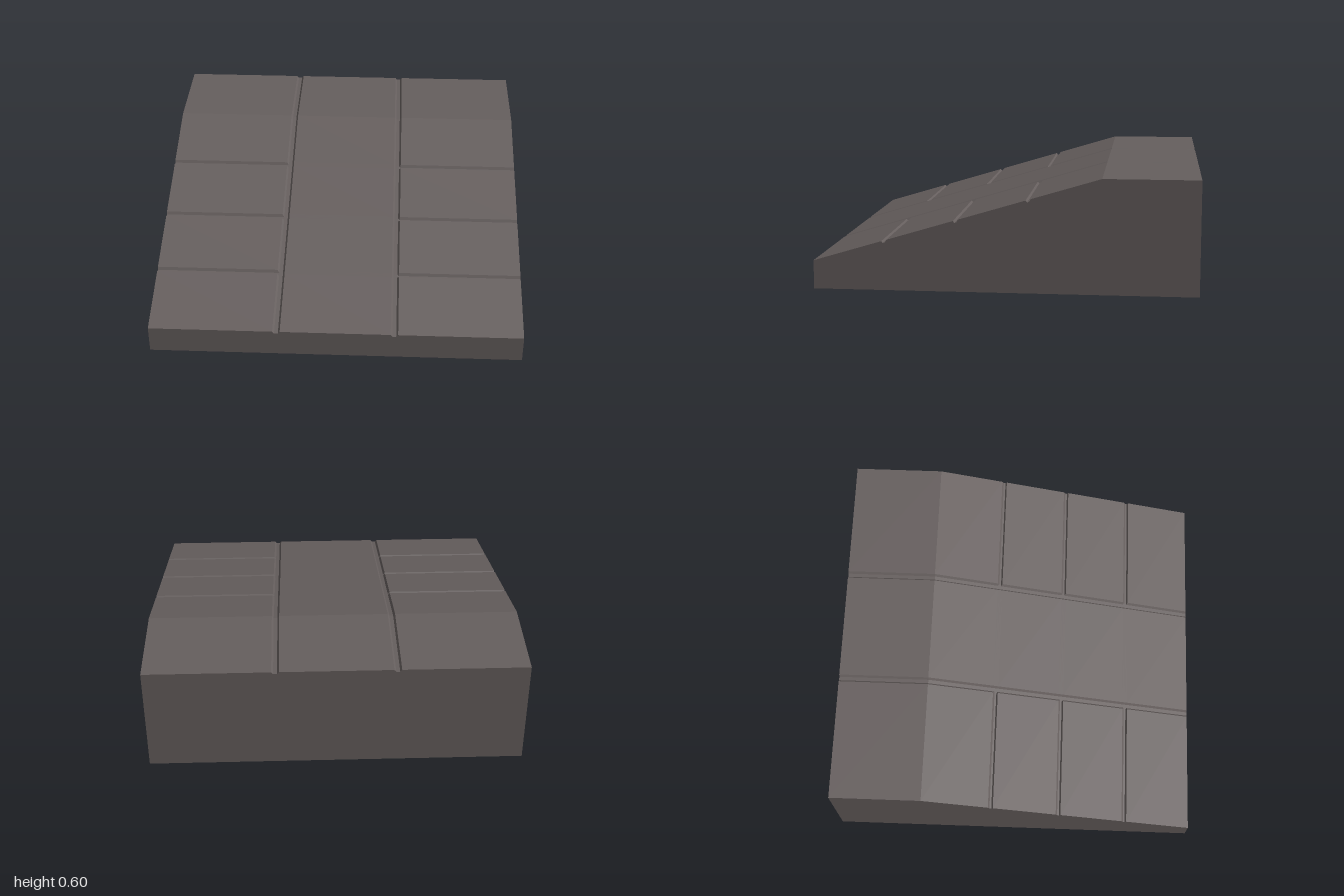
import * as THREE from 'three';

const DEPTH = 0.012;
const LONG_X = [-0.315, 0.315];          // grooves running front to back
const CROSS_Z = [-0.125, 0.25, 0.625];   // grooves across both side lanes
const LONG = { outer: 0.02, inner: 0.01 };
const CROSS = { outer: 0.0135, inner: 0.005 };

// Breakpoints along one axis: the ends plus four edges per groove
function breakpoints(centres, g, extra = []) {
  const list = [-1, 1, ...extra];
  for (const c of centres) list.push(c - g.outer, c - g.inner, c + g.inner, c + g.outer);
  return list.sort((a, b) => a - b);
}

// Depth of a trapezoidal groove at one coordinate
function grooveDepth(v, centres, g) {
  let depth = 0;
  for (const c of centres) {
    const t = (g.outer - Math.abs(v - c)) / (g.outer - g.inner);
    depth = Math.max(depth, DEPTH * THREE.MathUtils.clamp(t, 0, 1));
  }
  return depth;
}

// Ramp rising to a level rear deck, with the grooves pressed in
function height(x, z) {
  const base = z < -0.5 ? 0.6 : 0.15 + 0.3 * (1 - z);
  const lane = Math.abs(x) > 0.33 ? grooveDepth(z, CROSS_Z, CROSS) : 0;
  return base - Math.max(lane, grooveDepth(x, LONG_X, LONG));
}

function quadMesh(name, quads, material) {
  const pos = [];
  for (const [a, b, c, d] of quads) pos.push(...a, ...b, ...c, ...a, ...c, ...d);
  const geometry = new THREE.BufferGeometry();
  geometry.setAttribute('position', new THREE.Float32BufferAttribute(pos, 3));
  geometry.computeVertexNormals();
  const mesh = new THREE.Mesh(geometry, material);
  mesh.name = name;
  return mesh;
}

export function createModel() {
  const group = new THREE.Group();
  group.name = 'ramp';
  const stone = new THREE.MeshStandardMaterial({ color: 0x665f5e, side: THREE.DoubleSide });
  stone.name = 'warm dark grey';

  const xs = breakpoints(LONG_X, LONG);
  const zs = breakpoints(CROSS_Z, CROSS, [-0.5]);
  const top = (x, z) => [x, height(x, z), z];

  // Grooved ramp and deck surface
  const surface = [];
  for (let i = 0; i < xs.length - 1; i++) {
    for (let j = 0; j < zs.length - 1; j++) {
      const [x0, x1, z0, z1] = [xs[i], xs[i + 1], zs[j], zs[j + 1]];
      surface.push([top(x0, z0), top(x0, z1), top(x1, z1), top(x1, z0)]);
    }
  }
  group.add(quadMesh('rampSurface', surface, stone));

  // Walls follow the notched edge of the surface; the underside stays open
  const xBack = [...xs].reverse();
  const zBack = [...zs].reverse();
  const edges = {
    frontWall: xs.map((x) => [x, 1]),
    leftWall: zBack.map((z) => [1, z]),
    backWall: xBack.map((x) => [x, -1]),
    rightWall: zs.map((z) => [-1, z]),
  };
  for (const [name, edge] of Object.entries(edges)) {
    const quads = [];
    for (let i = 0; i < edge.length - 1; i++) {
      const [p, q] = [edge[i], edge[i + 1]];
      quads.push([[p[0], 0, p[1]], [q[0], 0, q[1]], top(...q), top(...p)]);
    }
    group.add(quadMesh(name, quads, stone));
  }
  return group;
}
